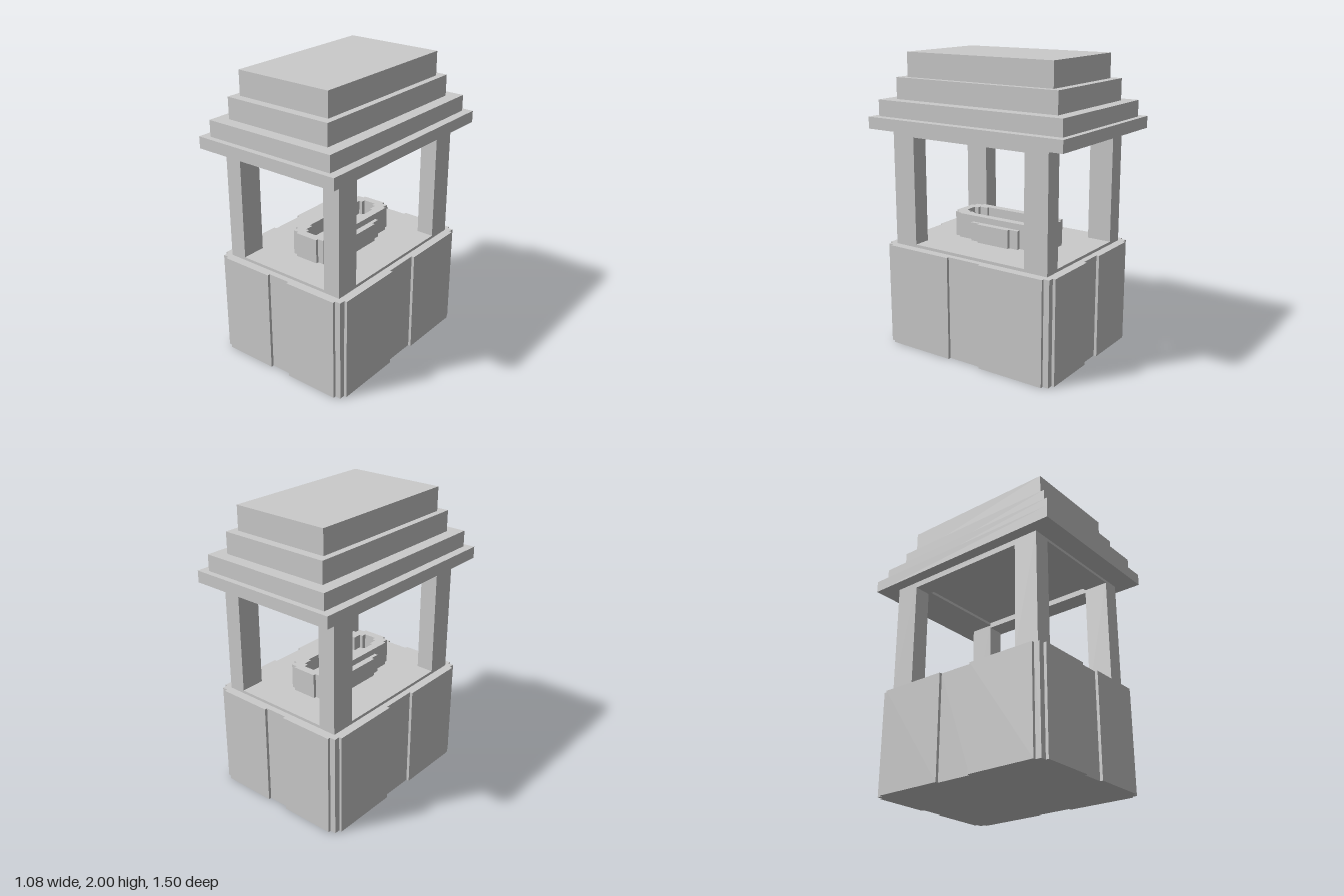
import * as THREE from 'three';

const material = new THREE.MeshStandardMaterial({ color: 0xcccccc, flatShading: true });

// Box between two heights, given half-free width, depth and centre
function addBox(parent, name, w, d, y0, y1, x = 0, z = 0) {
  const mesh = new THREE.Mesh(new THREE.BoxGeometry(w, y1 - y0, d), material);
  mesh.name = name;
  mesh.position.set(x, (y0 + y1) / 2, z);
  parent.add(mesh);
  return mesh;
}

// Mirror one quarter of an outline into a full closed loop
function mirrorQuarter(quarter) {
  const back = [...quarter].reverse();
  return [
    ...quarter,
    ...back.map(([x, z]) => [-x, z]),
    ...quarter.map(([x, z]) => [-x, -z]),
    ...back.map(([x, z]) => [x, -z]),
  ].map(([x, z]) => new THREE.Vector2(x, z));
}

// Upright prism from a quarter outline, with an optional quarter hole
function addPrism(parent, name, quarter, y0, y1, hole) {
  const shape = new THREE.Shape(mirrorQuarter(quarter));
  if (hole) shape.holes.push(new THREE.Path(mirrorQuarter(hole)));
  const geometry = new THREE.ExtrudeGeometry(shape, { depth: y1 - y0, bevelEnabled: false });
  geometry.rotateX(-Math.PI / 2);
  const mesh = new THREE.Mesh(geometry, material);
  mesh.name = name;
  mesh.position.y = y0;
  parent.add(mesh);
}

export function createModel() {
  const model = new THREE.Group();
  model.name = 'wellShelter';

  // Base with a recessed strip in each side and stepped corners
  addPrism(model, 'base', [
    [0.50, 0.125], [0.52, 0.125], [0.52, 0.605], [0.50, 0.605], [0.50, 0.645],
    [0.46, 0.645], [0.46, 0.665], [0.08, 0.665], [0.08, 0.645],
  ], 0, 0.71);
  addBox(model, 'floorSlab', 0.92, 1.21, 0.71, 0.73);

  // Corner posts and the beams joining them
  for (const s of [-1, 1]) {
    for (const t of [-1, 1]) addBox(model, 'post', 0.12, 0.17, 0.73, 1.5, s * 0.4, t * 0.52);
    addBox(model, 'sideBeam', 0.12, 0.87, 1.46, 1.5, s * 0.4, 0);
    addBox(model, 'endBeam', 0.68, 0.17, 1.48, 1.5, 0, s * 0.52);
  }

  // Stepped roof: width, depth, bottom, top
  const tiers = [
    [1.08, 1.5, 1.5, 1.58],
    [0.96, 1.42, 1.58, 1.69],
    [0.79, 1.25, 1.69, 1.835],
    [0.70, 1.13, 1.835, 2],
  ];
  for (const tier of tiers) addBox(model, 'roofTier', ...tier);

  // Hollow basin with stepped ends
  const basin = new THREE.Group();
  basin.name = 'basin';
  model.add(basin);
  addPrism(basin, 'basinWall', [
    [0.145, 0.27], [0.145, 0.31], [0.125, 0.31], [0.125, 0.355],
    [0.085, 0.355], [0.085, 0.375],
  ], 0.73, 0.9, [
    [0.09, 0.23], [0.07, 0.23], [0.07, 0.29], [0.045, 0.29], [0.045, 0.32],
  ]);
  addBox(basin, 'basinFloor', 0.2, 0.6, 0.73, 0.8);

  // Lower panels along the basin's long sides
  for (const s of [-1, 1]) {
    addBox(basin, 'basinSidePanel', 0.025, 0.38, 0.73, 0.858, s * 0.1575);
    addBox(basin, 'basinSideRib', 0.02, 0.25, 0.73, 0.858, s * 0.18);
  }
  return model;
}
